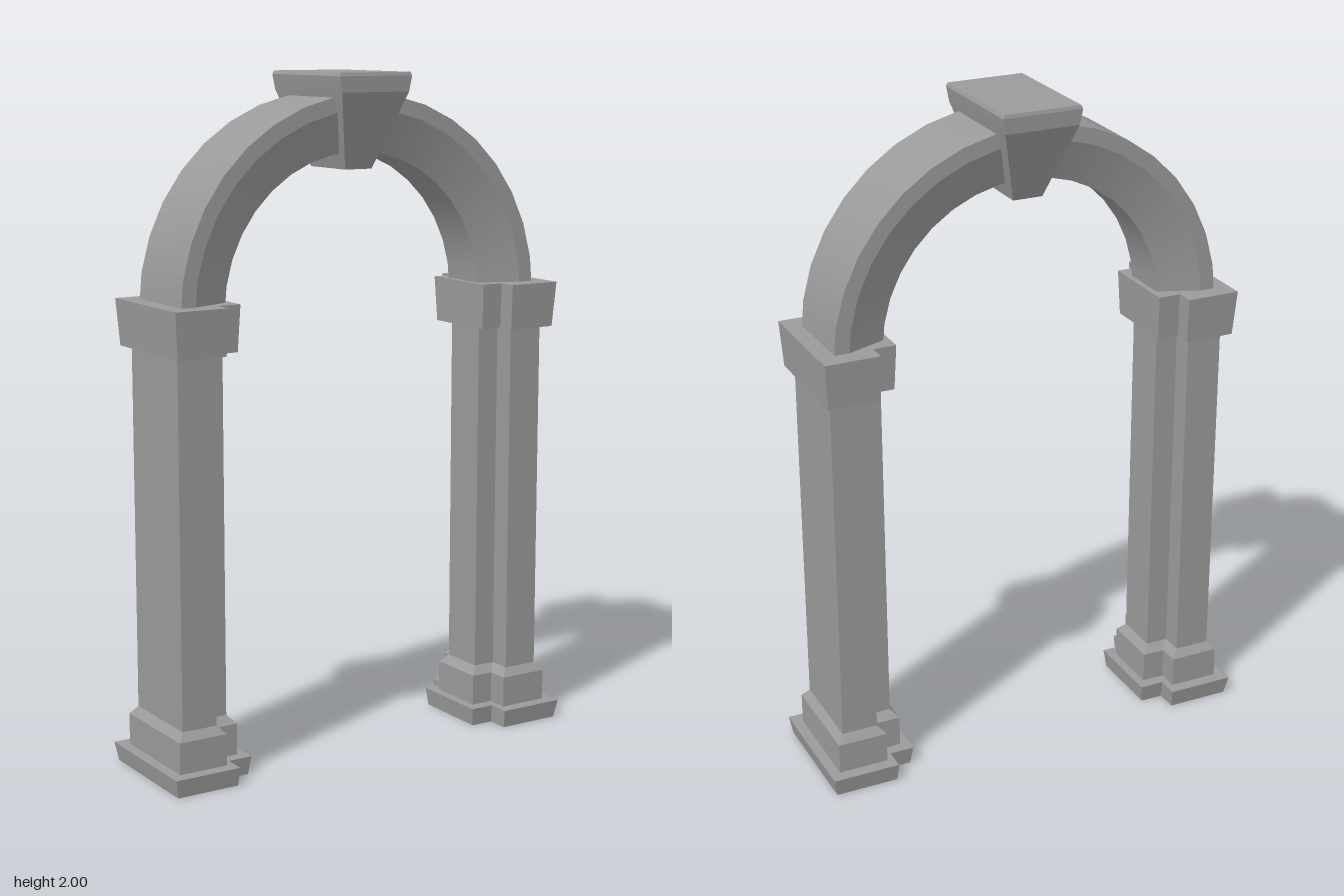
import * as THREE from 'three';
import { toCreasedNormals } from 'three/addons/utils/BufferGeometryUtils.js';

const material = new THREE.MeshStandardMaterial({ color: 0x9a9a9a, side: THREE.DoubleSide });

// Skins a series of closed rings of Vector3; level end rings can be capped.
function loft(rings, capBottom, capTop) {
  const n = rings[0].length;
  const points = rings.flat();
  const index = [];
  for (let i = 0; i < rings.length - 1; i++) {
    for (let j = 0; j < n; j++) {
      const a = i * n + j, b = i * n + (j + 1) % n;
      index.push(a, b, b + n, a, b + n, a + n);
    }
  }
  const contour = rings[0].map((p) => new THREE.Vector2(p.x, -p.z));
  const last = (rings.length - 1) * n;
  for (const [a, b, c] of THREE.ShapeUtils.triangulateShape(contour, [])) {
    if (capBottom) index.push(c, b, a);
    if (capTop) index.push(last + a, last + b, last + c);
  }
  const geometry = new THREE.BufferGeometry().setFromPoints(points);
  geometry.setIndex(index);
  return toCreasedNormals(geometry, 0.3);
}

function addMesh(parent, name, geometry) {
  const mesh = new THREE.Mesh(geometry, material);
  mesh.name = name;
  parent.add(mesh);
  return mesh;
}

// T-shaped plan: wide outer block, narrow block facing the opening
function tRing([y, outer, step, inner, wide, narrow]) {
  return [
    [outer, wide], [step, wide], [step, narrow], [inner, narrow],
    [inner, -narrow], [step, -narrow], [step, -wide], [outer, -wide],
  ].map(([x, z]) => new THREE.Vector3(x, y, z));
}

function createPillar(name) {
  const pillar = new THREE.Group();
  pillar.name = name;
  // Each row: y, outer x, step x, inner x, wide half depth, narrow half depth
  const parts = {
    plinth: [
      [0, -0.662, -0.47, -0.4, 0.186, 0.12],
      [0.055, -0.672, -0.467, -0.393, 0.195, 0.128],
    ],
    baseMoulding: [
      [0.055, -0.64, -0.489, -0.42, 0.157, 0.092],
      [0.148, -0.64, -0.489, -0.42, 0.157, 0.092],
      [0.172, -0.62, -0.511, -0.442, 0.137, 0.07],
    ],
    shaft: [
      [0.172, -0.62, -0.511, -0.442, 0.137, 0.07],
      [1.235, -0.62, -0.511, -0.442, 0.137, 0.07],
    ],
    capital: [
      [1.235, -0.638, -0.486, -0.42, 0.173, 0.118],
      [1.37, -0.647, -0.483, -0.415, 0.182, 0.127],
    ],
  };
  for (const [part, rows] of Object.entries(parts)) {
    // The plinth is hollow underneath
    addMesh(pillar, part, loft(rows.map(tRing), part !== 'plinth', true));
  }
  return pillar;
}

// Half ring whose faces taper towards the opening
function archGeometry() {
  const profile = [
    [0.435, 0.075], [0.555, 0.124], [0.6, 0.124],
    [0.6, -0.124], [0.555, -0.124], [0.435, -0.075],
  ];
  const centreY = 1.34, segments = 18;
  const rings = [];
  for (let i = 0; i <= segments; i++) {
    const t = (i / segments) * Math.PI;
    rings.push(profile.map(([r, z]) =>
      new THREE.Vector3(r * Math.cos(t), centreY + r * Math.sin(t), z)));
  }
  return loft(rings, false, false);
}

// Wedge block at the crown, with a fine bevel round the top
function keystoneGeometry() {
  // Each row: y, half width, half depth
  const rows = [
    [1.725, 0.045, 0.092], [1.945, 0.112, 0.183], [1.99, 0.12, 0.186], [2, 0.116, 0.183],
  ];
  return loft(rows.map(([y, w, d]) =>
    [[-w, d], [w, d], [w, -d], [-w, -d]].map(([x, z]) => new THREE.Vector3(x, y, z))), true, true);
}

export function createModel() {
  const model = new THREE.Group();
  model.name = 'archway';

  const rightPillar = createPillar('rightPillar');
  const leftPillar = createPillar('leftPillar');
  leftPillar.rotation.y = Math.PI;
  model.add(rightPillar, leftPillar);

  addMesh(model, 'arch', archGeometry()).position.z = -0.002;
  addMesh(model, 'keystone', keystoneGeometry()).position.z = -0.008;
  return model;
}
